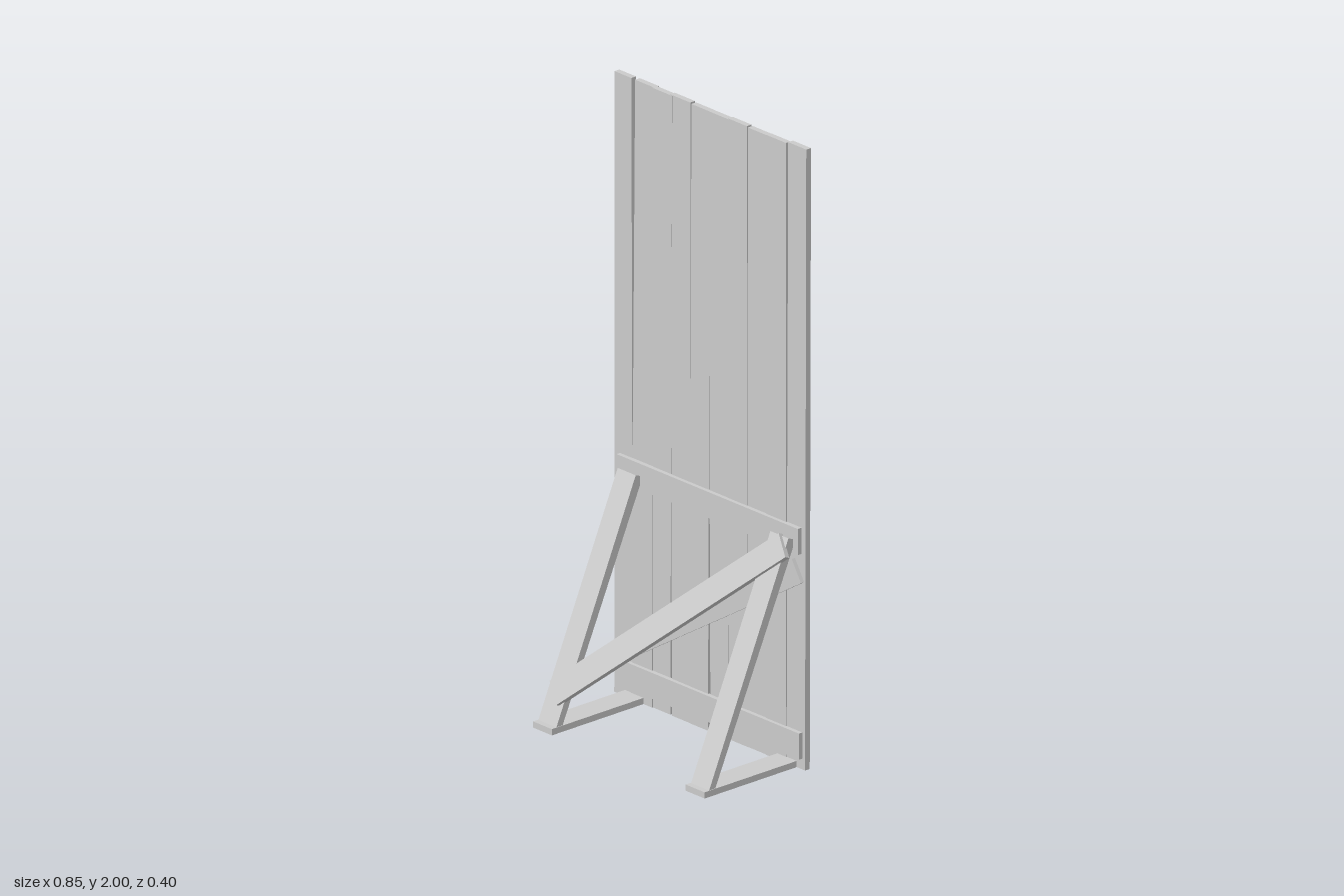
import * as THREE from 'three';

const wood = new THREE.MeshStandardMaterial({ color: 0xcccccc, flatShading: true });

function add(parent, name, geometry, x = 0, y = 0, z = 0) {
  const mesh = new THREE.Mesh(geometry, wood);
  mesh.name = name;
  mesh.position.set(x, y, z);
  parent.add(mesh);
  return mesh;
}

// A flat board running between two points in an xy plane
function board(parent, name, [x1, y1], [x2, y2], width, depth, z) {
  const length = Math.hypot(x2 - x1, y2 - y1);
  const mesh = add(parent, name, new THREE.BoxGeometry(length, width, depth),
    (x1 + x2) / 2, (y1 + y2) / 2, z);
  mesh.rotation.z = Math.atan2(y2 - y1, x2 - x1);
  return mesh;
}

// An upright plank with its own edges and depth at the bottom and top
function plankGeometry(bottom, top, height, thickness) {
  const geometry = new THREE.BoxGeometry(1, 1, 1);
  const p = geometry.attributes.position;
  for (let i = 0; i < p.count; i++) {
    const end = p.getY(i) > 0 ? top : bottom;
    p.setXYZ(i, p.getX(i) < 0 ? end.left : end.right,
      p.getY(i) > 0 ? height : 0, end.z + p.getZ(i) * thickness);
  }
  geometry.computeVertexNormals();
  return geometry;
}

export function createModel() {
  const model = new THREE.Group();
  model.name = 'plankScreen';

  // Plank wall: seams as [x, gap at bottom, gap at top]
  const seams = [
    [-0.425, 0, 0], [-0.345, -0.006, 0.010], [-0.255, 0.001, 0.002],
    [-0.172, 0.010, -0.010], [-0.086, -0.002, 0.003], [-0.003, 0.008, -0.004],
    [0.083, 0.004, -0.002], [0.166, -0.003, 0.003], [0.251, -0.002, 0.003],
    [0.340, -0.002, 0.004], [0.422, 0, 0],
  ];
  // Depth of each plank as [bottom z, top z]
  const depths = [
    [-0.183, -0.184], [-0.181, -0.190], [-0.184, -0.182], [-0.182, -0.183], [-0.181, -0.185],
    [-0.184, -0.181], [-0.182, -0.182], [-0.183, -0.184], [-0.181, -0.182], [-0.183, -0.188],
  ];
  const wall = new THREE.Group();
  wall.name = 'plankWall';
  model.add(wall);
  depths.forEach(([zBottom, zTop], i) => {
    const [xa, gapA, gapTopA] = seams[i];
    const [xb, gapB, gapTopB] = seams[i + 1];
    add(wall, 'plank', plankGeometry(
      { left: xa + gapA / 2, right: xb - gapB / 2, z: zBottom },
      { left: xa + gapTopA / 2, right: xb - gapTopB / 2, z: zTop },
      2 - 0.004 * ((i * 2) % 3) / 2, 0.019));
  });

  // Battens and diagonal holding the planks together
  board(model, 'lowerBatten', [-0.40, 0.077], [0.41, 0.077], 0.084, 0.016, -0.168);
  board(model, 'upperBatten', [-0.40, 0.735], [0.405, 0.735], 0.084, 0.016, -0.168);
  board(model, 'wallDiagonal', [-0.38, 0.157], [0.396, 0.638], 0.078, 0.014, -0.169);

  // Sloping legs, cut flat on the feet and upright against the batten
  const legProfile = new THREE.Shape([
    [0.178, 0.02], [-0.142, 0.745], [-0.16, 0.738], [-0.16, 0.71], [0.153, 0.02],
  ].map(([z, y]) => new THREE.Vector2(-z, y)));
  const legWidth = 0.08;
  const legGeometry = new THREE.ExtrudeGeometry(legProfile, { depth: legWidth, bevelEnabled: false });
  legGeometry.translate(0, 0, -legWidth / 2).rotateY(Math.PI / 2);

  for (const [side, x] of [['right', -0.335], ['left', 0.343]]) {
    add(model, side + 'Leg', legGeometry, x);
    add(model, side + 'Foot', new THREE.BoxGeometry(0.084, 0.02, 0.372), x, 0.01, 0.012);
  }

  // Brace across the front of the legs, in their sloping plane
  const slope = new THREE.Group();
  slope.name = 'braceFrame';
  slope.position.set(0, 0.02, 0.178);
  slope.rotation.x = -Math.atan2(0.32, 0.725);
  model.add(slope);
  board(slope, 'frontBrace', [-0.34, 0.093], [0.377, 0.768], 0.082, 0.018, 0.003);

  return model;
}
